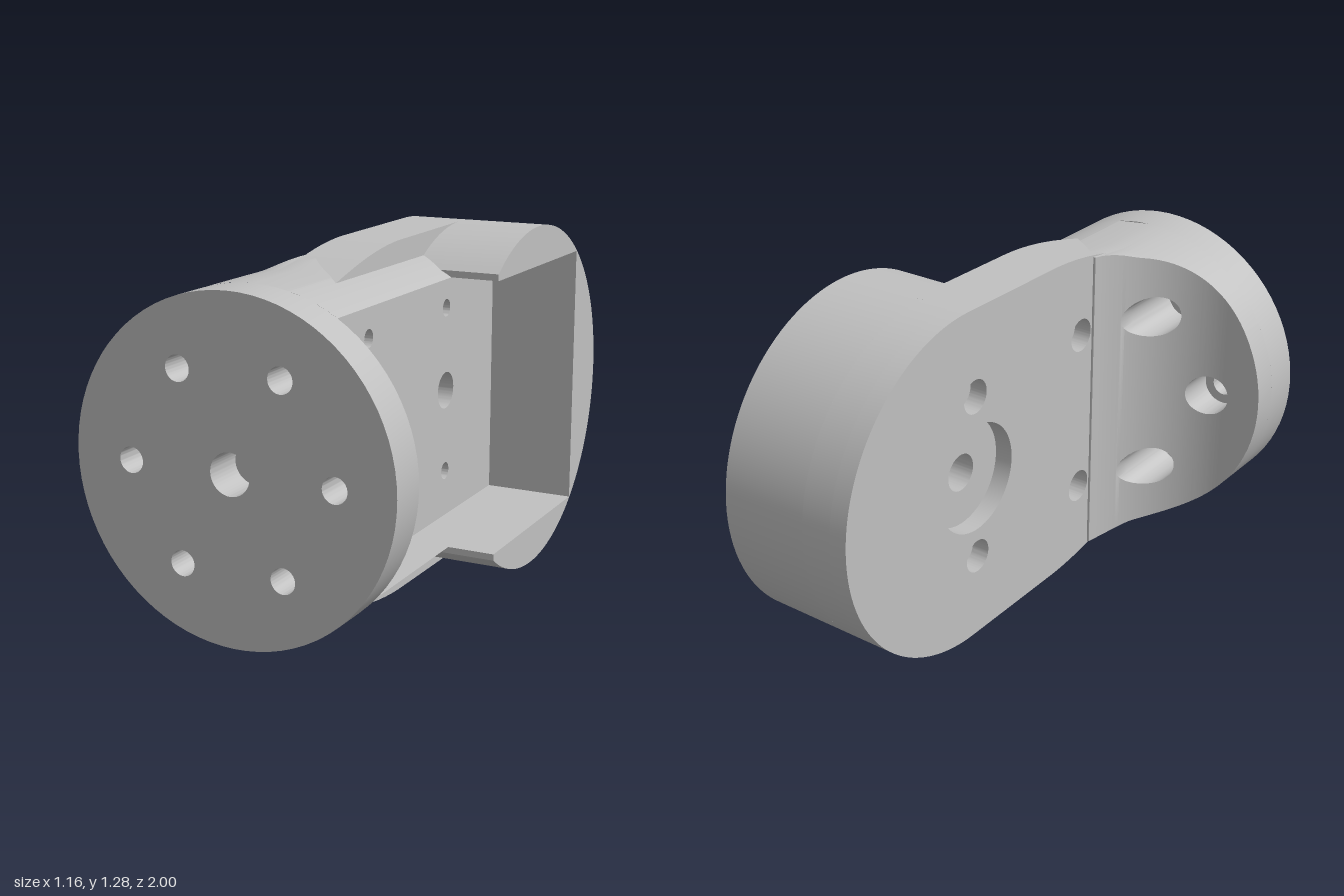
import * as THREE from 'three';
import { toCreasedNormals } from 'three/addons/utils/BufferGeometryUtils.js';

const CY = 0.64;          // height of the centre line
const R = 0.58;           // front flange radius
const RB = 0.64;          // rear housing radius
const ZB = -0.36;         // rear housing axis (z)
const POCKET = 0.495;     // half height of the pocket
const FLOOR = 0.133;      // x of the pocket floor
const BACK = -0.055;      // x of the outer plate face
const FLANGE = 0.85;      // z of the flange's inner face

export function createModel() {
  const model = new THREE.Group();
  const body = new THREE.Group();
  body.name = 'bracket';
  body.position.y = CY;
  model.add(body);
  const grey = new THREE.MeshStandardMaterial({ color: 0xc0c0c0 });
  grey.name = 'plain grey';

  const add = (name, geo) => {
    const mesh = new THREE.Mesh(toCreasedNormals(geo, 0.6), grey);
    mesh.name = name;
    body.add(mesh);
  };
  const extrude = (shape, depth) =>
    new THREE.ExtrudeGeometry(shape, { depth, bevelEnabled: false, curveSegments: 40 });
  const alongZ = (name, shape, z0, z1) => add(name, extrude(shape, z1 - z0).translate(0, 0, z0));
  // Shapes for alongX are drawn in (-z, y)
  const alongX = (name, shape, x0, x1) =>
    add(name, extrude(shape, x1 - x0).rotateY(Math.PI / 2).translate(x0, 0, 0));
  const hole = (shape, x, y, r) =>
    shape.holes.push(new THREE.Path().absarc(x, y, r, 0, Math.PI * 2, true));

  // Front flange with six bolt holes and a blind centre hole
  const flange = new THREE.Shape().absarc(0, 0, R, 0, Math.PI * 2, false);
  hole(flange, 0, 0, 0.072);
  for (let i = 0; i < 6; i++) {
    const a = (i * Math.PI) / 3;
    hole(flange, 0.37 * Math.cos(a), 0.37 * Math.sin(a), 0.044);
  }
  alongZ('frontFlange', flange, FLANGE, 1);
  add('centreHoleBottom', new THREE.CircleGeometry(0.08, 40).translate(0, 0, FLANGE + 0.001));

  // Side plate: counterbored outer layer and inner layer with narrow holes
  const plate = (mainR, screwR) => {
    const s = new THREE.Shape();
    s.moveTo(-FLANGE, -0.553);
    s.lineTo(-0.62, -0.553);
    s.bezierCurveTo(-0.48, -0.59, -0.33, -0.63, -0.15, -0.635);
    s.lineTo(-ZB, -RB);
    s.absarc(-ZB, 0, RB, -Math.PI / 2, Math.PI / 2, false);
    s.lineTo(-0.15, 0.635);
    s.bezierCurveTo(-0.33, 0.63, -0.48, 0.59, -0.62, 0.553);
    s.lineTo(-FLANGE, 0.553);
    hole(s, 0.32, 0, mainR);
    for (const w of [-0.315, 0.32]) for (const y of [-0.317, 0.317]) hole(s, w, y, screwR);
    return s;
  };
  const step = BACK + 0.07;
  alongX('plateOuterLayer', plate(0.205, 0.063), BACK, step);
  alongX('plateInnerLayer', plate(0.07, 0.033), step, FLOOR);

  // Rear housing wall wrapping the pocket, with blunt front tips
  const tip = -0.015;
  const a = Math.acos((-ZB - tip) / RB);
  const housing = new THREE.Shape();
  housing.absarc(-ZB, 0, RB, -Math.PI + a, Math.PI - a, false);
  housing.lineTo(tip, POCKET);
  housing.lineTo(0.76, POCKET);
  housing.lineTo(0.76, -POCKET);
  housing.lineTo(tip, -POCKET);
  alongX('rearHousing', housing, FLOOR, 0.48);

  // Upper and lower pocket walls, with the raised rim beside the plate
  for (const s of [1, -1]) {
    const rim = new THREE.Shape();
    rim.moveTo(-FLANGE, s * POCKET);
    rim.lineTo(-FLANGE, s * 0.553);
    rim.lineTo(-0.62, s * 0.553);
    rim.bezierCurveTo(-0.48, s * 0.59, -0.33, s * 0.63, -0.15, s * 0.635);
    rim.lineTo(-ZB, s * RB);
    rim.lineTo(-ZB, s * POCKET);
    alongX(s > 0 ? 'upperRim' : 'lowerRim', rim, FLOOR, 0.168);

    const wall = new THREE.Shape();
    wall.moveTo(FLOOR, s * POCKET);
    wall.lineTo(Math.sqrt(R * R - POCKET * POCKET), s * POCKET);
    wall.absarc(0, 0, R, s * Math.asin(POCKET / R), s * Math.acos(FLOOR / R), s < 0);
    alongZ(s > 0 ? 'upperWall' : 'lowerWall', wall, -0.3, FLANGE);
  }

  add('scoopedNeck', neckGeometry());
  return model;
}

// Solid behind the flange: scooped rear face, round outside, three bolt head bores
function neckGeometry() {
  const r = 0.08, rs = 0.445;
  const bores = [[-0.185, -0.32], [-0.37, 0], [-0.185, 0.32]];
  const xs = [BACK, FLOOR, -0.5];
  for (let i = 0; i <= 24; i++) {
    const c = Math.cos((i / 24) * Math.PI);
    xs.push(-0.185 + r * c, -0.37 + r * c, -R * Math.cos((i / 24) * Math.PI / 2));
    xs.push(-0.5 + rs * Math.sin((i / 24) * Math.PI / 2));
  }
  const cols = xs.filter((x) => x <= FLOOR).sort((p, q) => p - q)
    .filter((x, i, all) => i === 0 || x - all[i - 1] > 1e-5);

  // The scoop fades into the plate just in front of the plate's screw holes
  const scoop = (x) => {
    const d = Math.min(Math.max(x + 0.5, 0), rs);
    return Math.max(0.385, 0.3 + Math.sqrt(rs * rs - d * d));
  };
  // Heights where the solid starts and stops in a column
  const cuts = (x, mid, raise) => {
    const h = Math.sqrt(Math.max(0, R * R - x * x)) +
      raise * 0.025 * THREE.MathUtils.smoothstep(x, -0.15, BACK);
    const ys = [-h];
    for (const [cx, cy] of bores) {
      if (Math.abs(mid - cx) > r) continue;
      const d = Math.sqrt(Math.max(0, r * r - (x - cx) ** 2));
      ys.push(cy - d, cy + d);
    }
    return [...ys, h];
  };

  const pos = [];
  const quad = (p, q, s, t) => pos.push(...p, ...q, ...s, ...p, ...s, ...t);
  for (let i = 0; i + 1 < cols.length; i++) {
    const mid = (cols[i] + cols[i + 1]) / 2;
    // Rows of each column: scoop edge, end of the flare, flange
    const [A, B] = [cols[i], cols[i + 1]].map((x) => {
      const z = scoop(x);
      return [[z, 1], [Math.max(z, 0.58), 0], [FLANGE, 0]].map(([zz, raise]) =>
        cuts(x, mid, raise).map((y) => [x, y, zz]));
    });
    for (let k = 0; k < A[0].length; k += 2) {
      quad(A[0][k], A[0][k + 1], B[0][k + 1], B[0][k]);
      for (let j = 0; j < 2; j++) {
        quad(A[j][k + 1], A[j + 1][k + 1], B[j + 1][k + 1], B[j][k + 1]);
        quad(A[j][k], B[j][k], B[j + 1][k], A[j + 1][k]);
      }
    }
  }
  const geo = new THREE.BufferGeometry();
  geo.setAttribute('position', new THREE.Float32BufferAttribute(pos, 3));
  return geo;
}
